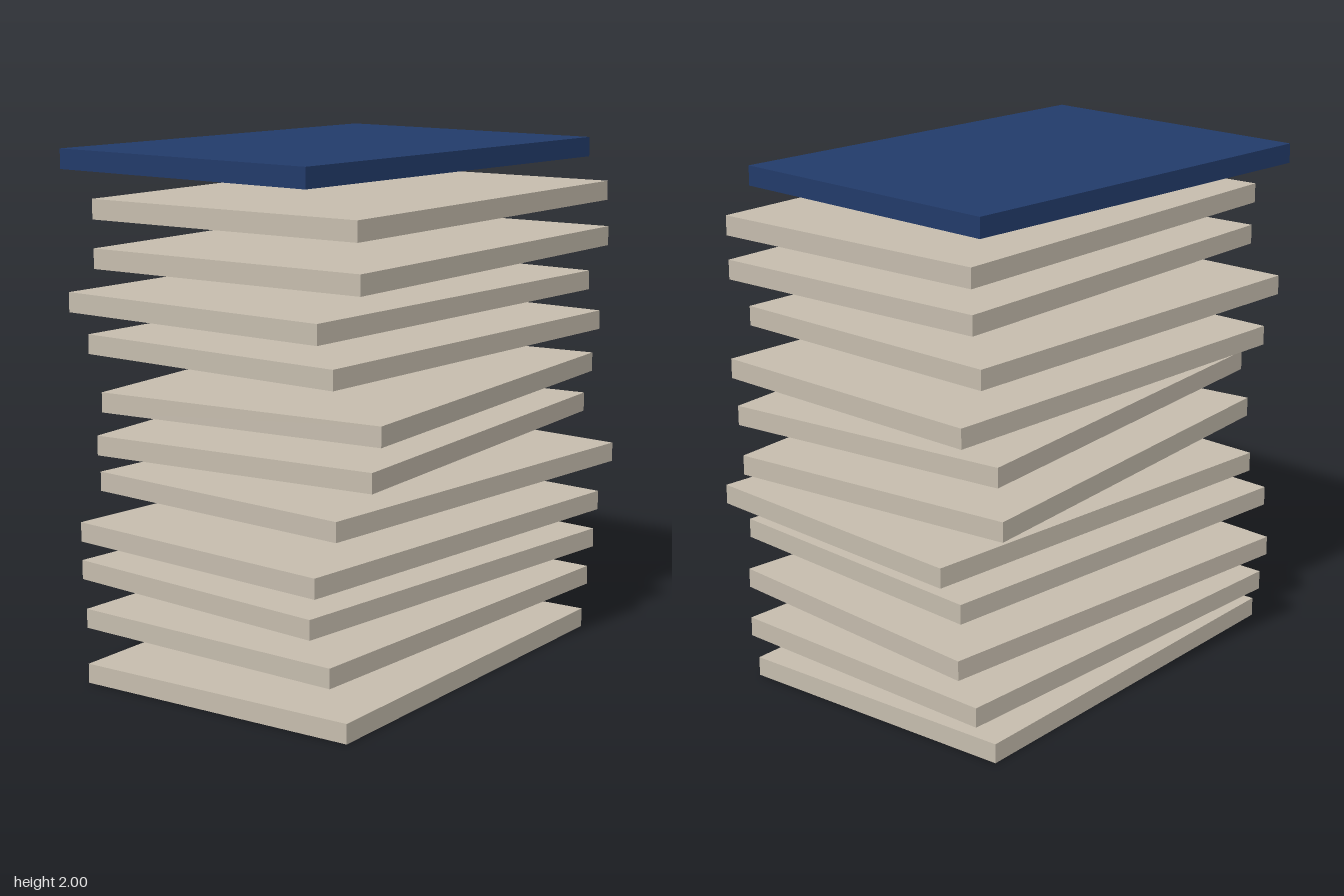
import * as THREE from 'three';

// Size of every slab, and the vertical distance from one slab to the next
const WIDTH = 1.18, THICK = 0.075, DEPTH = 1.69, PITCH = 0.175;

// Offset in x, offset in z and turn about y, from the bottom up
const PLACEMENT = [
  [0, 0.048, 0.031],
  [-0.043, -0.013, -0.028],
  [-0.045, -0.01, -0.092],
  [0.016, 0.058, -0.082],
  [0.014, -0.057, -0.076],
  [-0.019, -0.025, 0.089],
  [0.037, 0.008, 0.093],
  [-0.047, -0.064, -0.042],
  [-0.03, 0.053, -0.039],
  [0.074, 0.043, 0.016],
  [0.048, 0.016, 0.011],
  [-0.043, 0.064, -0.058],
];

export function createModel() {
  const model = new THREE.Group();
  model.name = 'slabStack';

  const beige = new THREE.MeshStandardMaterial({ color: 0xc6bdae });
  beige.name = 'beige';
  const navy = new THREE.MeshStandardMaterial({ color: 0x223b6a });
  navy.name = 'navy';

  // Floating slabs, each slightly shifted and turned; the top one is the cover
  const slab = new THREE.BoxGeometry(WIDTH, THICK, DEPTH);
  PLACEMENT.forEach(([x, z, turn], i) => {
    const isCover = i === PLACEMENT.length - 1;
    const mesh = new THREE.Mesh(slab, isCover ? navy : beige);
    mesh.name = isCover ? 'cover' : `slab${i + 1}`;
    mesh.position.set(x, THICK / 2 + i * PITCH, z);
    mesh.rotation.y = turn;
    model.add(mesh);
  });

  return model;
}
